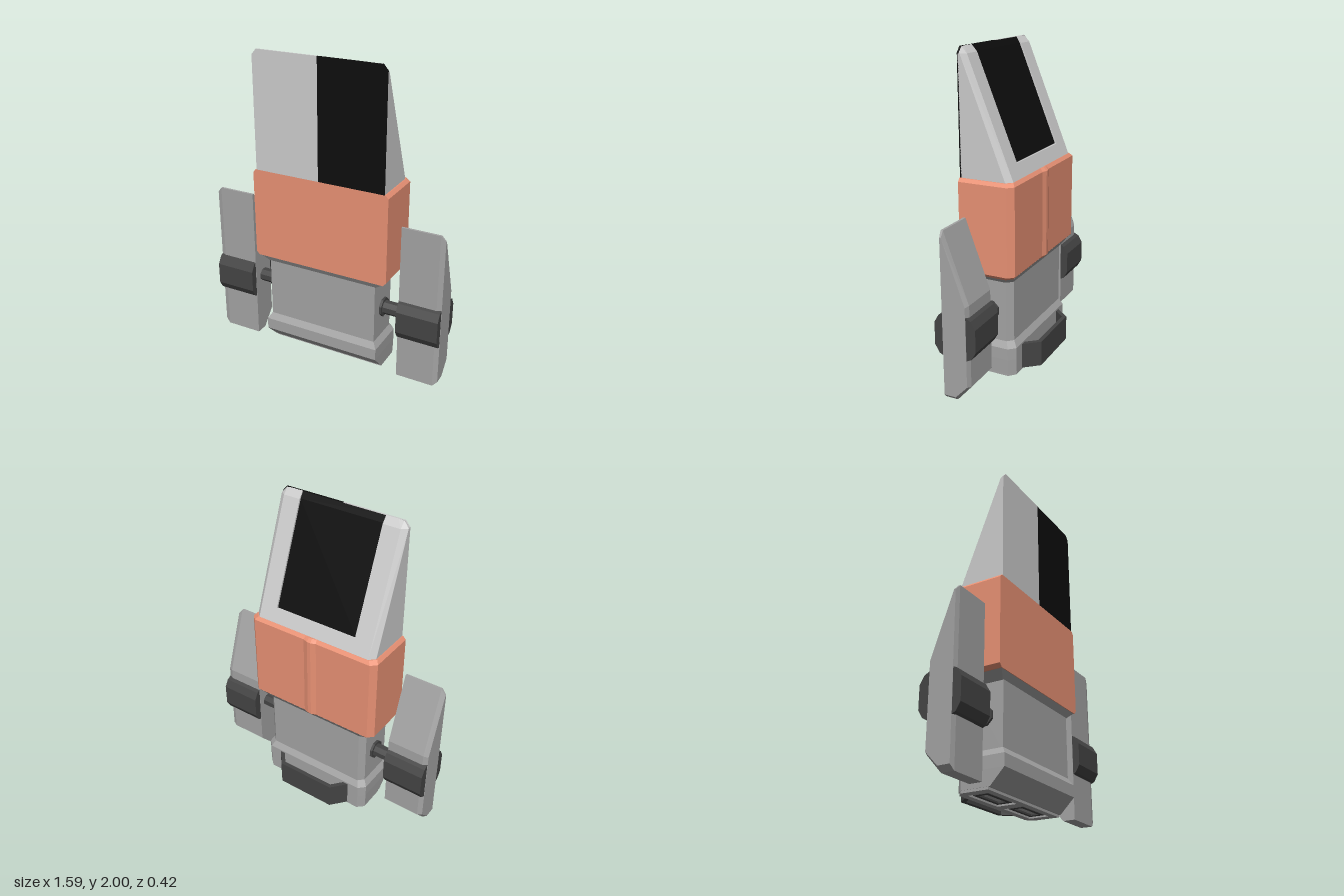
import * as THREE from 'three';
import { ConvexGeometry } from 'three/addons/geometries/ConvexGeometry.js';

const mat = (color) => new THREE.MeshStandardMaterial({ color, flatShading: true });
const light = mat(0xcccccc), grey = mat(0xa3a3a3), coral = mat(0xe89174), dark = mat(0x444444), black = mat(0x0d0d0d);
const V = (x, y, z) => new THREE.Vector3(x, y, z);

// Horizontal outline: square front corners, back corners cut by c
const layer = (y, x, zf, zb, c) => [-1, 1].flatMap((s) =>
  [V(s * x, y, zf), V(s * x, y, zb + c), V(s * (x - c), y, zb)]);
// Same [z, y] profile repeated at given x
const slice = (x, profile) => profile.map(([z, y]) => V(x, y, z));

export function createModel() {
  const root = new THREE.Group();
  const add = (name, geo, material, parent = root) => {
    const m = new THREE.Mesh(geo, material);
    m.name = name;
    parent.add(m);
    return m;
  };
  const hull = (name, pts, material, parent) => add(name, new ConvexGeometry(pts), material, parent);
  const extrude = (pts, depth, holes = []) => {
    const shape = new THREE.Shape(pts.map(([x, y]) => new THREE.Vector2(x, y)));
    for (const h of holes) shape.holes.push(new THREE.Path(h.map(([x, y]) => new THREE.Vector2(x, y))));
    return new THREE.ExtrudeGeometry(shape, { depth, bevelEnabled: false });
  };
  const rect = (cx, cy, w, h) => [[cx - w, cy - h], [cx + w, cy - h], [cx + w, cy + h], [cx - w, cy + h]];

  // Torso, neck and base
  hull('torso', [...layer(0.2, 0.375, 0.18, -0.09, 0.035), ...layer(0.62, 0.375, 0.18, -0.09, 0.035)], grey);
  hull('waistFlare', [...layer(0.615, 0.378, 0.178, -0.09, 0.035), ...layer(0.665, 0.44, 0.208, -0.125, 0.035)], grey);
  hull('base', [...layer(0.225, 0.375, 0.18, -0.09, 0.035), ...layer(0.185, 0.4, 0.205, -0.115, 0.04),
    ...layer(0.11, 0.4, 0.205, -0.115, 0.04), ...layer(0.015, 0.397, 0.112, -0.115, 0.04)], grey);

  // Underside plate with two recessed vents
  const sole = add('solePlate', extrude(
    [[-0.395, -0.1], [0.395, -0.1], [0.395, 0.075], [0.355, 0.112], [-0.355, 0.112], [-0.395, 0.075]], 0.015,
    [-1, 1].map((s) => rect(s * 0.185, 0.005, 0.15, 0.065).reverse())), grey);
  sole.rotation.x = -Math.PI / 2;
  for (const s of [-1, 1]) {
    const rim = add('ventRim', extrude(rect(s * 0.185, 0.005, 0.125, 0.048), 0.012,
      [rect(s * 0.185, 0.005, 0.1, 0.028).reverse()]), dark);
    rim.rotation.x = -Math.PI / 2;
    rim.position.y = 0.004;
  }

  // Rear bumper loop
  const bumper = add('bumper', extrude([[-0.285, 0.11], [-0.2, 0.21], [0.2, 0.21], [0.285, 0.11],
    [0.25, 0.11], [0.188, 0.183], [-0.188, 0.183], [-0.25, 0.11]], 0.165), dark);
  bumper.rotation.x = -Math.PI / 2;
  bumper.position.y = 0.01;

  // Chest block with a central ridge on the back
  hull('chest', [...layer(0.66, 0.44, 0.21, -0.12, 0.035), ...layer(0.682, 0.46, 0.21, -0.14, 0.035),
    ...layer(1.23, 0.46, 0.21, -0.14, 0.035), ...layer(1.25, 0.442, 0.21, -0.122, 0.035)], coral);
  hull('backRidge', [[0.662, -0.12, -0.13], [0.682, -0.14, -0.152], [1.23, -0.14, -0.152], [1.25, -0.12, -0.13]]
    .flatMap(([y, z, peak]) => [V(-0.045, y, z), V(0.045, y, z), V(-0.012, y, peak), V(0.012, y, peak)]), coral);

  // Wedge-shaped head: side cheeks, sill and recessed window
  const slope = (y) => -0.12 + (y - 1.25) * 0.402;
  const W = 0.285, sill = 1.335;
  for (const s of [-1, 1]) {
    const pts = [];
    for (const [y, x, zs, zb] of [[1.25, 0.435, -0.085, -0.12], [1.96, 0.435, 0.192, slope(1.96)], [2, 0.4, 0.203, 0.2]])
      pts.push(V(s * W, y, 0.2), V(s * x, y, 0.205), V(s * x, y, zs), V(s * (x - 0.035), y, zb), V(s * W, y, zb));
    hull('headCheek', pts, light);
    // Front face halves
    const panel = add(s > 0 ? 'frontPanelBlack' : 'frontPanelGrey', extrude(
      [[0, 1.25], [0.435, 1.25], [0.435, 1.965], [0.405, 2], [0, 2]].map(([x, y]) => [s * x, y]), 0.01),
      s > 0 ? black : light);
    panel.position.z = 0.2;
  }
  const prism = (profile) => [-W, W].flatMap((x) => slice(x, profile));
  hull('windowSill', prism([[0.2, 1.25], [-0.12, 1.25], [slope(sill), sill], [0.2, sill]]), light);
  hull('rearWindow', prism([[0.202, sill], [slope(sill) + 0.012, sill], [slope(1.96) + 0.012, 1.96],
    [0.2, 1.998], [0.203, 1.998]]), black);

  // Arms: axle, collar, drum and blade, mirrored
  const blade = [[0.145, 0.005], [0.145, 1.04], [0.13, 1.04], [-0.025, 0.62], [-0.028, 0.11], [0.065, 0.005]];
  const bladeOuter = [[0.137, 0.035], [0.137, 1.005], [0.127, 1.005], [-0.013, 0.615], [-0.016, 0.118], [0.062, 0.035]];
  const quarter = [[0.133, 0.07], [0.105, 0.118], [0.05, 0.145]];
  const drum = quarter.flatMap(([z, y]) => [-1, 1].flatMap((a) => [-1, 1].map((b) => [0.057 + a * z, 0.42 + b * y])));
  for (const s of [-1, 1]) {
    const arm = new THREE.Group();
    arm.name = s > 0 ? 'leftArm' : 'rightArm';
    root.add(arm);
    for (const [name, r, len, x] of [['axle', 0.045, 0.18, 0.45], ['collar', 0.063, 0.025, 0.378]]) {
      const c = add(name, new THREE.CylinderGeometry(r, r, len, 8), dark, arm);
      c.rotation.set(Math.PI / 8, 0, Math.PI / 2, 'ZYX');
      c.rotation.set(0, 0, Math.PI / 2);
      c.geometry.rotateY(Math.PI / 8);
      c.position.set(s * x, 0.42, 0.055);
    }
    hull('drum', [...slice(s * 0.522, drum), ...slice(s * 0.793, drum)], dark, arm);
    hull('blade', [...slice(s * 0.52, blade), ...slice(s * 0.765, blade), ...slice(s * 0.795, bladeOuter)], grey, arm);
  }
  return root;
}
